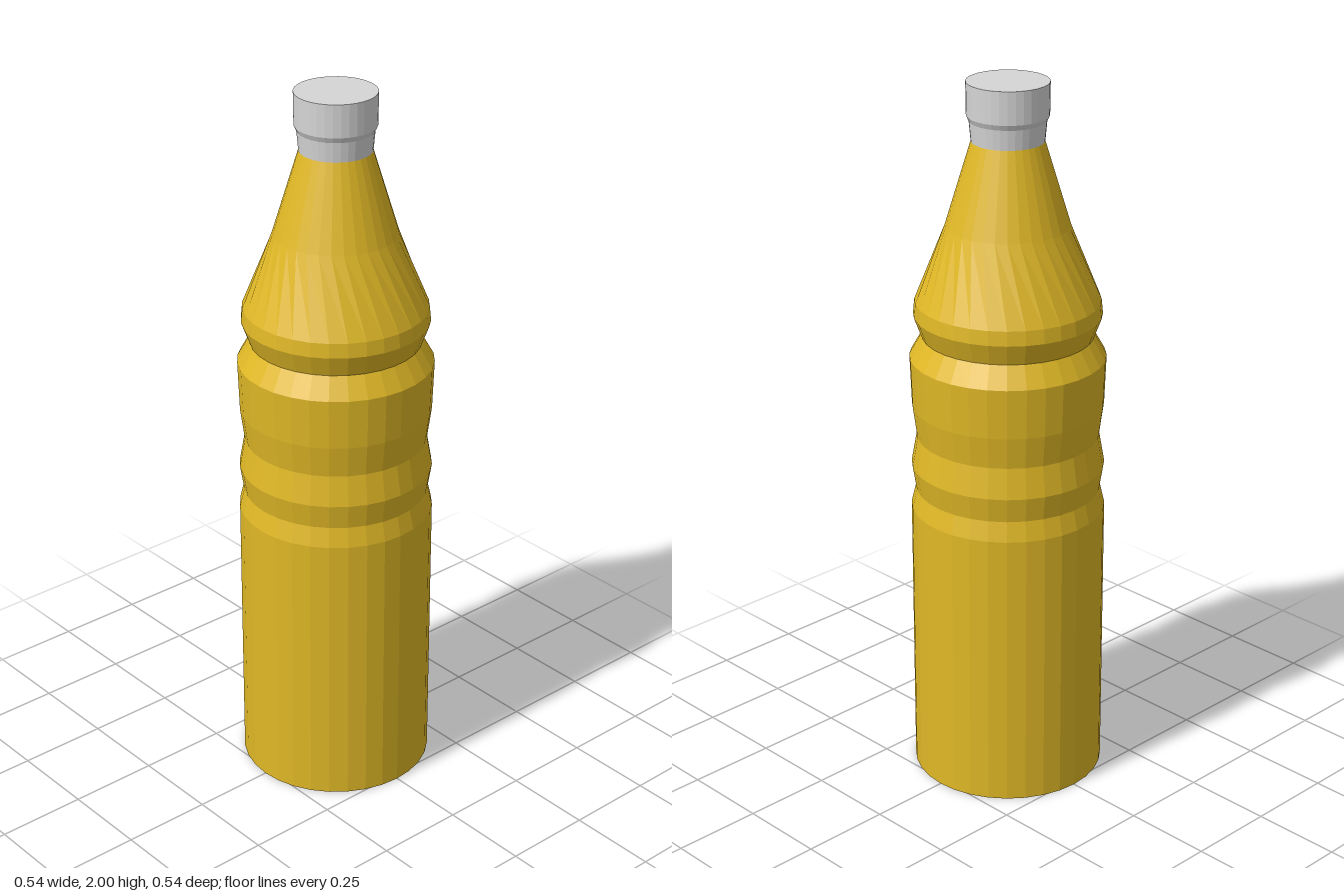
import * as THREE from 'three';

const SIDES = 32;

// Stacked rings [radius, y, twist in whole sides]; twisted rings give the swirling facets
function ringSurface(rings) {
  const pos = [], idx = [];
  for (const [r, y, twist = 0] of rings) {
    for (let i = 0; i < SIDES; i++) {
      const a = ((i + twist) / SIDES) * Math.PI * 2;
      pos.push(Math.sin(a) * r, y, Math.cos(a) * r);
    }
  }
  for (let k = 0; k < rings.length - 1; k++) {
    const leansBack = (rings[k + 1][2] || 0) < (rings[k][2] || 0);
    for (let i = 0; i < SIDES; i++) {
      const j = (i + 1) % SIDES;
      const a = k * SIDES + i, b = k * SIDES + j;
      const c = a + SIDES, d = b + SIDES;
      if (leansBack) idx.push(a, b, d, a, d, c);
      else idx.push(a, b, c, b, d, c);
    }
  }
  const g = new THREE.BufferGeometry();
  g.setAttribute('position', new THREE.Float32BufferAttribute(pos, 3));
  g.setIndex(idx);
  const flat = g.toNonIndexed();
  flat.computeVertexNormals();
  return flat;
}

export function createModel() {
  const group = new THREE.Group();
  const gold = new THREE.MeshStandardMaterial({ color: 0xe0b826 });
  gold.name = 'gold';
  const silver = new THREE.MeshStandardMaterial({ color: 0xd6d6d6 });
  silver.name = 'pale grey';

  const add = (name, geometry, material) => {
    const mesh = new THREE.Mesh(geometry, material);
    mesh.name = name;
    group.add(mesh);
  };

  // Straight lower body, grip grooves and the waist under the shoulder
  add('body', ringSurface([
    [0, 0], [0.268, 0], [0.268, 0.8], [0.255, 0.855], [0.266, 0.925], [0.251, 1.01],
    [0.263, 1.1], [0.268, 1.24], [0.234, 1.3], [0.256, 1.36], [0.252, 1.4],
  ]), gold);

  // Swirled shoulder
  add('shoulder', ringSurface([[0.252, 1.4], [0.168, 1.61, -2], [0.098, 1.84, -1]]), gold);

  // Neck collar and cap
  add('neck', ringSurface([[0.098, 1.84], [0.103, 1.895], [0.11, 1.91]]), silver);
  add('cap', ringSurface([[0.11, 1.91], [0.111, 2], [0, 2]]), silver);

  return group;
}
